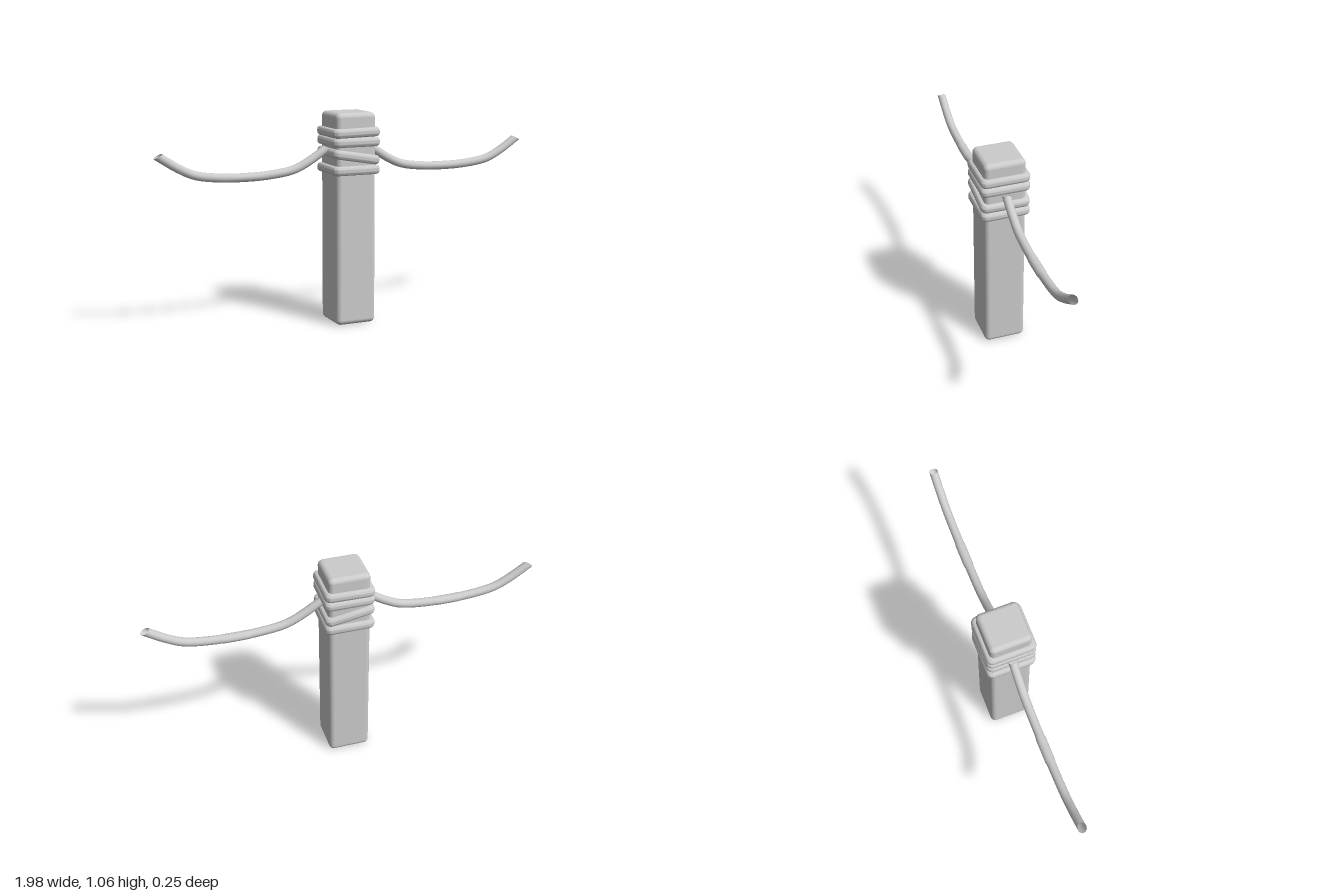
import * as THREE from 'three';
import { RoundedBoxGeometry } from 'three/addons/geometries/RoundedBoxGeometry.js';
import { mergeVertices, toCreasedNormals } from 'three/addons/utils/BufferGeometryUtils.js';

const material = new THREE.MeshStandardMaterial({ color: 0xcccccc });
const openMaterial = new THREE.MeshStandardMaterial({ color: 0xcccccc, side: THREE.DoubleSide });

function roundedSquare(h, r) {
  const s = new THREE.Shape();
  s.absarc(h - r, h - r, r, 0, Math.PI / 2);
  s.absarc(r - h, h - r, r, Math.PI / 2, Math.PI);
  s.absarc(r - h, r - h, r, Math.PI, Math.PI * 1.5);
  s.absarc(h - r, r - h, r, Math.PI * 1.5, Math.PI * 2);
  s.closePath();
  return s;
}

// One turn of rope wrapped round the square post
function wrapGeometry() {
  const bevel = 0.018, height = 0.046;
  const geo = new THREE.ExtrudeGeometry(roundedSquare(0.125 - bevel, 0.014), {
    depth: height - 2 * bevel, bevelThickness: bevel, bevelSize: bevel,
    bevelSegments: 5, curveSegments: 5,
  });
  geo.center().rotateX(-Math.PI / 2);
  return toCreasedNormals(geo, 0.7);
}

// Sagging rope, open and cut at a slant at both ends
function ropeGeometry() {
  const mid = 0.54, radius = 0.0215, rings = 48, sides = 14;
  const half = [[0.427, 0.885], [0.33, 0.823], [0.25, 0.786], [0.13, 0.767]];
  const points = [
    ...half.map(([d, y]) => new THREE.Vector3(mid - d, y, 0)),
    new THREE.Vector3(mid, 0.762, 0),
    ...half.reverse().map(([d, y]) => new THREE.Vector3(mid + d, y, 0)),
  ];
  const curve = new THREE.CatmullRomCurve3(points);
  const geo = new THREE.TubeGeometry(curve, rings, radius, sides);
  const pos = geo.attributes.position;
  const v = new THREE.Vector3();
  for (let i = 0; i < pos.count; i++) {
    v.fromBufferAttribute(pos, i);
    // slightly wider in the middle of the sag
    if (Math.abs(v.x - mid) < 0.06) v.z *= 1.13;
    // slide the end rings along the rope to slant the cuts
    const ring = Math.floor(i / (sides + 1));
    if (ring === 0 || ring === rings) {
      const t = ring / rings;
      const tangent = curve.getTangentAt(t);
      const normal = new THREE.Vector3(-tangent.y, tangent.x, 0);
      const lift = v.clone().sub(curve.getPointAt(t)).dot(normal);
      v.addScaledVector(tangent, (ring ? -0.6 : 0.6) * lift);
    }
    pos.setXYZ(i, v.x, v.y, v.z);
  }
  geo.deleteAttribute('uv');
  geo.deleteAttribute('normal');
  const smooth = mergeVertices(geo);
  smooth.computeVertexNormals();
  return smooth;
}

export function createModel() {
  const model = new THREE.Group();
  model.name = 'ropePost';
  const add = (name, geo, mat = material) => {
    const mesh = new THREE.Mesh(geo, mat);
    mesh.name = name;
    model.add(mesh);
    return mesh;
  };

  // Square post
  add('post', new RoundedBoxGeometry(0.21, 1.06, 0.21, 4, 0.025)).position.y = 0.53;

  // Four wraps [height, tilt]; the third runs diagonally
  const wrap = wrapGeometry();
  [[0.963, 0.02], [0.916, 0], [0.843, -0.17], [0.778, 0]].forEach(([y, tilt], i) => {
    const mesh = add(`ropeWrap${i + 1}`, wrap);
    mesh.position.y = y;
    mesh.rotation.z = tilt;
  });

  // A rope hanging out to each side
  const rope = ropeGeometry();
  add('leftRope', rope, openMaterial);
  add('rightRope', rope, openMaterial).rotation.y = Math.PI;

  return model;
}
